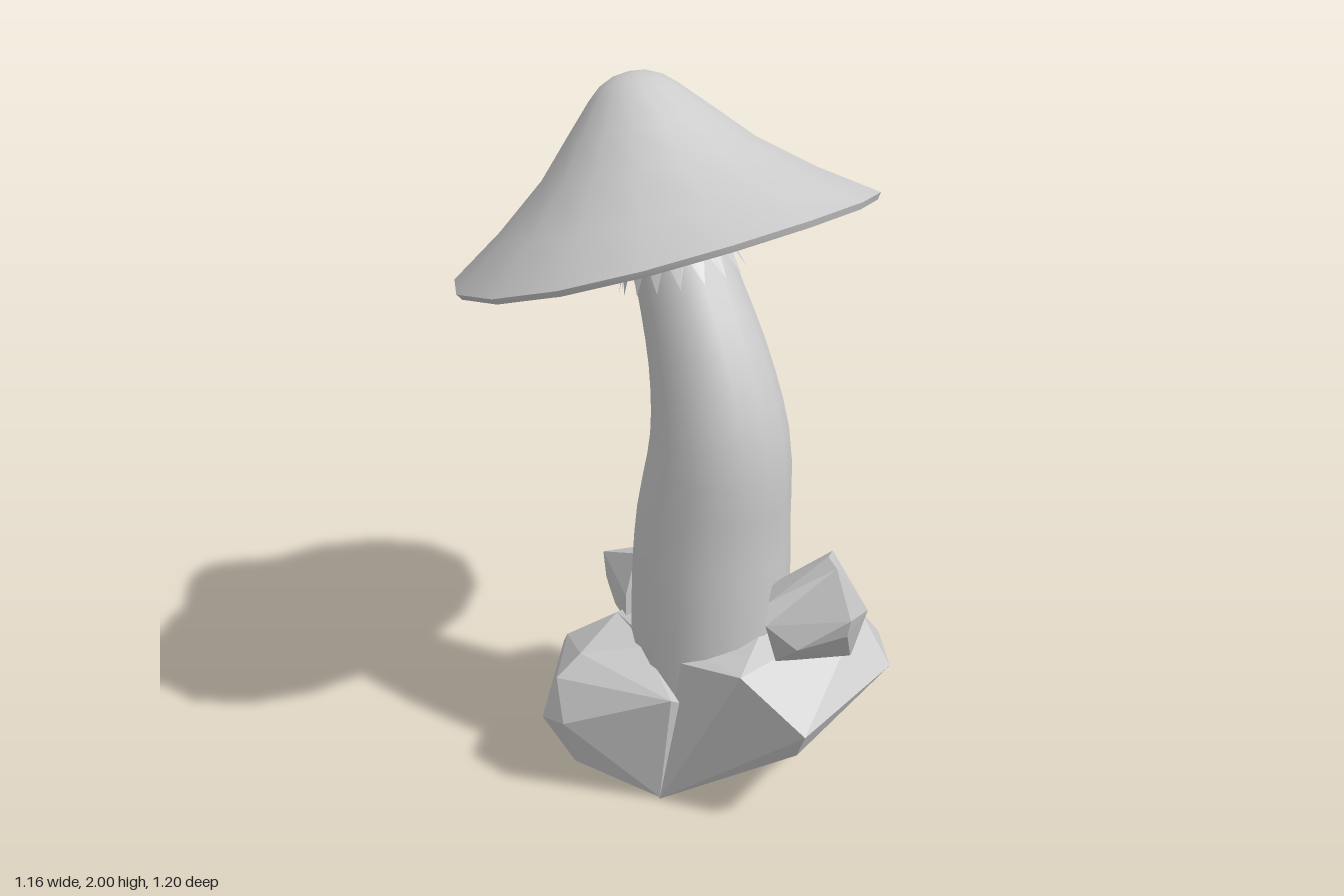
import * as THREE from 'three';
import { toCreasedNormals } from 'three/addons/utils/BufferGeometryUtils.js';
import { ConvexGeometry } from 'three/addons/geometries/ConvexGeometry.js';

const TILT = -0.325; // cap and frill lean towards the back
const SIDES = 16;

export function createModel() {
  const group = new THREE.Group();
  const grey = new THREE.MeshStandardMaterial({ color: 0xcccccc });
  const greyThin = new THREE.MeshStandardMaterial({ color: 0xcccccc, side: THREE.DoubleSide });

  const add = (name, geometry, material = grey) => {
    const mesh = new THREE.Mesh(geometry, material);
    mesh.name = name;
    group.add(mesh);
    return mesh;
  };
  const addRock = (name, points) =>
    add(name, new ConvexGeometry(points.map((p) => new THREE.Vector3(...p))));

  // Cap: hollow underside, thin rim, concave cone and rounded tip; its sides droop a little
  const profile = [
    [0, 0.07], [0.12, 0.068], [0.5, 0.04], [0.568, -0.018], [0.58, 0],
    [0.43, 0.092], [0.29, 0.197], [0.2, 0.29], [0.12, 0.372],
    [0.085, 0.402], [0.045, 0.42], [0, 0.426],
  ].map(([r, y]) => new THREE.Vector2(r, y));
  const capGeometry = new THREE.LatheGeometry(profile, SIDES);
  const cp = capGeometry.attributes.position;
  for (let i = 0; i < cp.count; i++) cp.setY(i, cp.getY(i) - 0.1 * cp.getX(i) ** 2);
  const cap = add('cap', toCreasedNormals(capGeometry, 0.5));
  cap.position.set(0, 1.587, -0.05);
  cap.rotation.x = TILT;

  // Stem: bent, tapering tube; each section is (radius, y, z)
  const sections = new THREE.CatmullRomCurve3([
    [0.22, 0.25, 0.14], [0.22, 0.6, 0.145], [0.212, 0.8, 0.153], [0.19, 1.05, 0.177],
    [0.165, 1.25, 0.137], [0.14, 1.45, 0.055], [0.125, 1.6, -0.015], [0.113, 1.71, -0.065],
  ].map((s) => new THREE.Vector3(...s)));
  const stemGeometry = new THREE.CylinderGeometry(1, 1, 1, SIDES, 20);
  const pos = stemGeometry.attributes.position;
  for (let i = 0; i < pos.count; i++) {
    const t = THREE.MathUtils.clamp(pos.getY(i) + 0.5, 0, 1);
    const c = sections.getPoint(t);
    const d = sections.getTangent(t);
    const len = Math.hypot(d.y, d.z);
    const side = pos.getZ(i) * c.x;
    pos.setXYZ(i, pos.getX(i) * c.x, c.y - (side * d.z) / len, c.z + (side * d.y) / len);
  }
  add('stem', toCreasedNormals(stemGeometry, 0.7));

  // Frill: flared collar whose lower edge is cut into pointed teeth
  const teeth = 17;
  const frillGeometry = new THREE.CylinderGeometry(0.122, 0.175, 0.13, teeth * 2, 1, true);
  const fp = frillGeometry.attributes.position;
  for (let i = teeth * 2 + 2; i < fp.count; i += 2) {
    fp.setXYZ(i, fp.getX(i) * 0.83, fp.getY(i) + 0.085, fp.getZ(i) * 0.83);
  }
  frillGeometry.computeVertexNormals();
  const frill = add('frill', frillGeometry, greyThin);
  frill.position.set(0, 1.53, 0.008);
  frill.rotation.x = TILT;

  // Base rocks: a main boulder and a lower lobe on the other side
  addRock('mainBoulder', [
    [-0.23, 0, 0.19], [0.12, 0.06, 0.02], [-0.05, 0.25, 0.55], [-0.07, 0.34, 0.6],
    [0.34, 0.36, 0.52], [0.47, 0.2, 0.36], [-0.17, 0.5, 0.45], [0, 0.53, 0.35],
    [0.32, 0.5, 0.42], [0.35, 0.53, 0.28], [0.45, 0.36, 0.37], [0.44, 0.36, 0.26],
    [0.38, 0.21, 0.13], [0.29, 0.21, -0.02], [0.29, 0.44, 0.04], [0.12, 0.43, -0.12],
    [0.1, 0.25, -0.23], [-0.15, 0.25, -0.33], [-0.12, 0.43, -0.12], [-0.2, 0.45, 0.2],
  ]);
  addRock('sideBoulder', [
    [-0.23, 0.005, 0.19], [-0.38, 0.1, 0], [-0.43, 0.23, -0.08], [-0.42, 0.24, 0],
    [-0.4, 0.36, -0.05], [-0.33, 0.42, -0.03], [-0.2, 0.45, 0.1], [-0.31, 0.3, 0.15],
    [-0.24, 0.36, 0.25], [-0.15, 0.25, -0.33], [-0.2, 0.33, -0.25], [-0.12, 0.43, -0.12],
    [0, 0.2, 0.2],
  ]);

  // Smaller stones leaning against the stem
  addRock('frontStone', [
    [0.06, 0.8, 0.57], [-0.1, 0.72, 0.48], [-0.12, 0.66, 0.49], [-0.04, 0.57, 0.53],
    [0.09, 0.64, 0.6], [0.1, 0.58, 0.58], [0.24, 0.58, 0.52], [0.14, 0.76, 0.46],
    [0.25, 0.7, 0.37], [0.33, 0.52, 0.32], [0.31, 0.44, 0.42], [-0.04, 0.5, 0.45],
    [0.22, 0.42, 0.48], [0.05, 0.66, 0.34], [0.2, 0.48, 0.29],
  ]);
  addRock('backStone', [
    [-0.12, 0.5, -0.08], [-0.05, 0.56, -0.06], [0.08, 0.52, -0.05], [-0.03, 0.58, -0.14],
    [0.1, 0.56, -0.16], [0.01, 0.49, -0.335], [0.17, 0.48, -0.28], [0.02, 0.4, -0.335],
    [0.17, 0.37, -0.27], [0.06, 0.3, -0.26], [0.13, 0.32, -0.22], [-0.06, 0.4, -0.2],
    [-0.12, 0.42, -0.08], [0.19, 0.45, -0.2],
  ]);

  return group;
}
